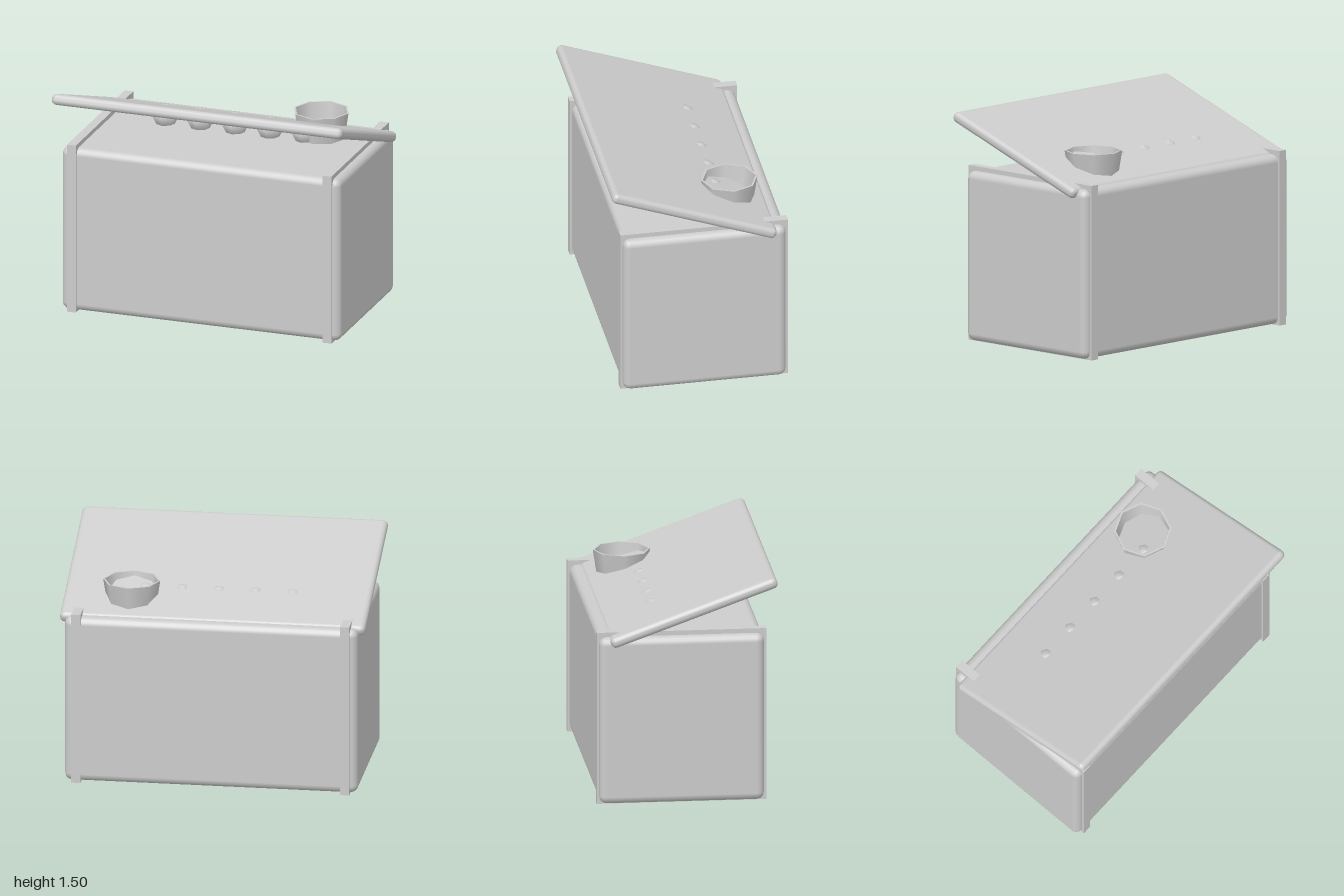
import * as THREE from 'three';
import { RoundedBoxGeometry } from 'three/addons/geometries/RoundedBoxGeometry.js';

export function createModel() {
  const model = new THREE.Group();
  model.name = 'coolBox';
  const grey = new THREE.MeshStandardMaterial({ color: 0xcccccc });
  grey.name = 'light grey';

  const add = (name, geometry, x, y, z) => {
    const mesh = new THREE.Mesh(geometry, grey);
    mesh.name = name;
    mesh.position.set(x, y, z);
    model.add(mesh);
    return mesh;
  };
  // eight-sided turned part, with a corner facing the front
  const turned = (points) =>
    new THREE.LatheGeometry(points.map(([r, y]) => new THREE.Vector2(r, y)), 8);

  // chest with softened edges
  add('body', new RoundedBoxGeometry(1.92, 1.117, 1.075, 2, 0.05), 0, 0.562, -0.033);

  // flat bands wrapped round the chest near both ends
  for (const side of [-1, 1]) {
    add(side > 0 ? 'leftBand' : 'rightBand',
      new THREE.BoxGeometry(0.06, 1.15, 1.105), side * 0.88, 0.575, -0.033);
  }

  // lid propped open towards the front
  const lid = add('lid', new RoundedBoxGeometry(2, 0.072, 1.15, 2, 0.032), 0, 1.283, 0.043);
  lid.rotation.x = THREE.MathUtils.degToRad(-19.8);

  // row of knobs poking through the lid
  const knob = turned([[0, 1.1], [0.06, 1.11], [0.1, 1.19], [0.03, 1.245], [0, 1.25]]);
  for (let i = -2; i <= 2; i++) add('knob', knob, i * 0.24, 0, -0.17);

  // thin-walled open cup set into the lid
  add('cup', turned([
    [0.155, 1.1], [0.167, 1.17], [0.187, 1.3],
    [0.187, 1.3], [0.174, 1.3],
    [0.174, 1.3], [0.155, 1.17], [0.143, 1.1],
  ]), 0.56, 0, -0.265);

  return model;
}
